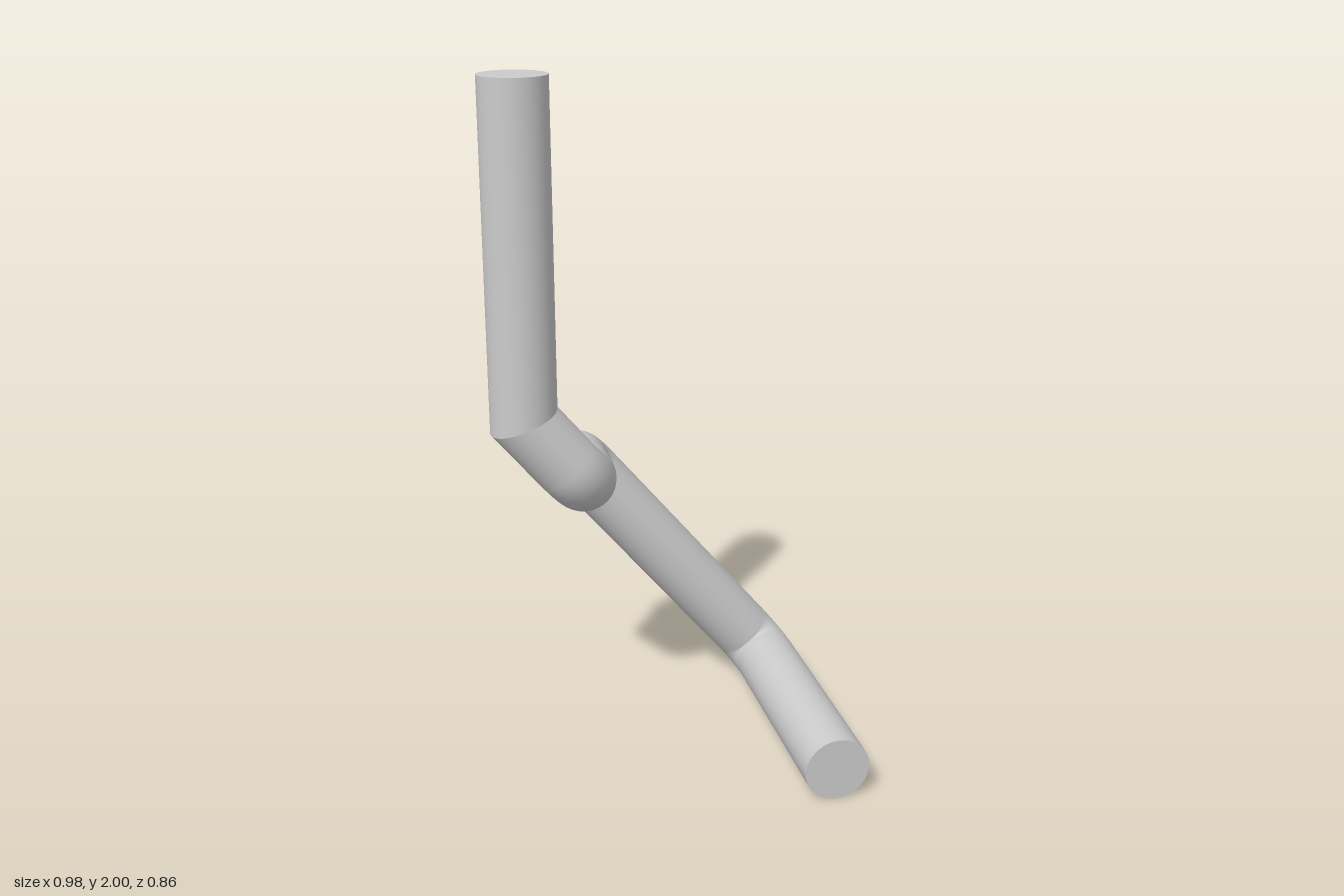
import * as THREE from 'three';

const R = 0.095;        // tube radius, also the centreline radius of each elbow
const SIDES = 48;
const BEND_STEPS = 12;

// Sweeps a round tube along flat stations { x, z, h }, h being the heading.
// startShear slants the first ring so it meets a mitre joint.
function sweepTube(stations, startShear) {
  const pos = [], nor = [], idx = [], n = SIDES + 1;
  stations.forEach(({ x, z, h }, i) => {
    for (let j = 0; j <= SIDES; j++) {
      const t = (j / SIDES) * Math.PI * 2;
      const nx = -Math.sin(h) * Math.cos(t), ny = Math.sin(t), nz = Math.cos(h) * Math.cos(t);
      pos.push(x + R * nx + (i === 0 ? startShear * R * ny : 0), R * ny, z + R * nz);
      nor.push(nx, ny, nz);
      if (i < stations.length - 1 && j < SIDES) {
        const a = i * n + j, b = a + n;
        idx.push(a, b, a + 1, b, b + 1, a + 1);
      }
    }
  });
  const g = new THREE.BufferGeometry();
  g.setAttribute('position', new THREE.Float32BufferAttribute(pos, 3));
  g.setAttribute('normal', new THREE.Float32BufferAttribute(nor, 3));
  g.setIndex(idx);
  return g;
}

export function createModel() {
  const model = new THREE.Group();
  const mat = new THREE.MeshStandardMaterial({ color: 0xcccccc });
  const add = (parent, name, geometry) => {
    const mesh = new THREE.Mesh(geometry, mat);
    mesh.name = name;
    parent.add(mesh);
    return mesh;
  };

  // Joint between the upright and the slanted rod, and the rod's far corner
  const joint = new THREE.Vector3(-0.397, 1.05, -0.049);
  const corner = new THREE.Vector2(0.397, R);
  const dx = corner.x - joint.x, dy = corner.y - joint.y;
  const slant = Math.atan2(dy, dx), length = Math.hypot(dx, dy);
  const mitre = Math.tan((slant + Math.PI / 2) / 2);

  // Upright with its lower rim cut to the mitre
  const height = 2 - joint.y;
  const upright = new THREE.CylinderGeometry(R, R, height, SIDES, 1, true);
  upright.translate(0, height / 2, 0);
  const p = upright.attributes.position;
  for (let i = 0; i < p.count; i++) {
    if (p.getY(i) < height / 2) p.setY(i, p.getX(i) * mitre);
  }
  add(model, 'upright', upright).position.copy(joint);
  const topCap = add(model, 'topCap', new THREE.CircleGeometry(R, SIDES));
  topCap.rotation.x = -Math.PI / 2;
  topCap.position.set(joint.x, 2, joint.z);

  // Bent rod, laid flat and then tilted: straight runs and quarter-turn elbows
  const at = { x: 0, z: 0, h: 0 };
  const stations = [{ ...at }];
  const forward = (d) => {
    at.x += Math.cos(at.h) * d;
    at.z += Math.sin(at.h) * d;
    stations.push({ ...at });
  };
  const turn = (sign) => {
    const { x, z, h } = at;
    const cx = x - Math.sin(h) * R * sign, cz = z + Math.cos(h) * R * sign;
    for (let i = 1; i <= BEND_STEPS; i++) {
      at.h = h + sign * (i / BEND_STEPS) * Math.PI / 2;
      at.x = cx + Math.sin(at.h) * R * sign;
      at.z = cz - Math.cos(at.h) * R * sign;
      stations.push({ ...at });
    }
  };
  const offset = 0.286, backZ = -0.335, frontZ = 0.43;
  forward(offset - R);
  turn(-1);
  forward(joint.z - backZ - 2 * R);
  turn(1);
  forward(length - offset - 2 * R);
  turn(1);
  forward(frontZ - backZ - R);

  const rod = new THREE.Group();
  rod.name = 'bentRod';
  rod.position.copy(joint);
  rod.rotation.z = slant;
  add(rod, 'rodTube', sweepTube(stations, mitre));
  add(rod, 'frontCap', new THREE.CircleGeometry(R, SIDES)).position.set(at.x, 0, at.z);
  model.add(rod);
  return model;
}
